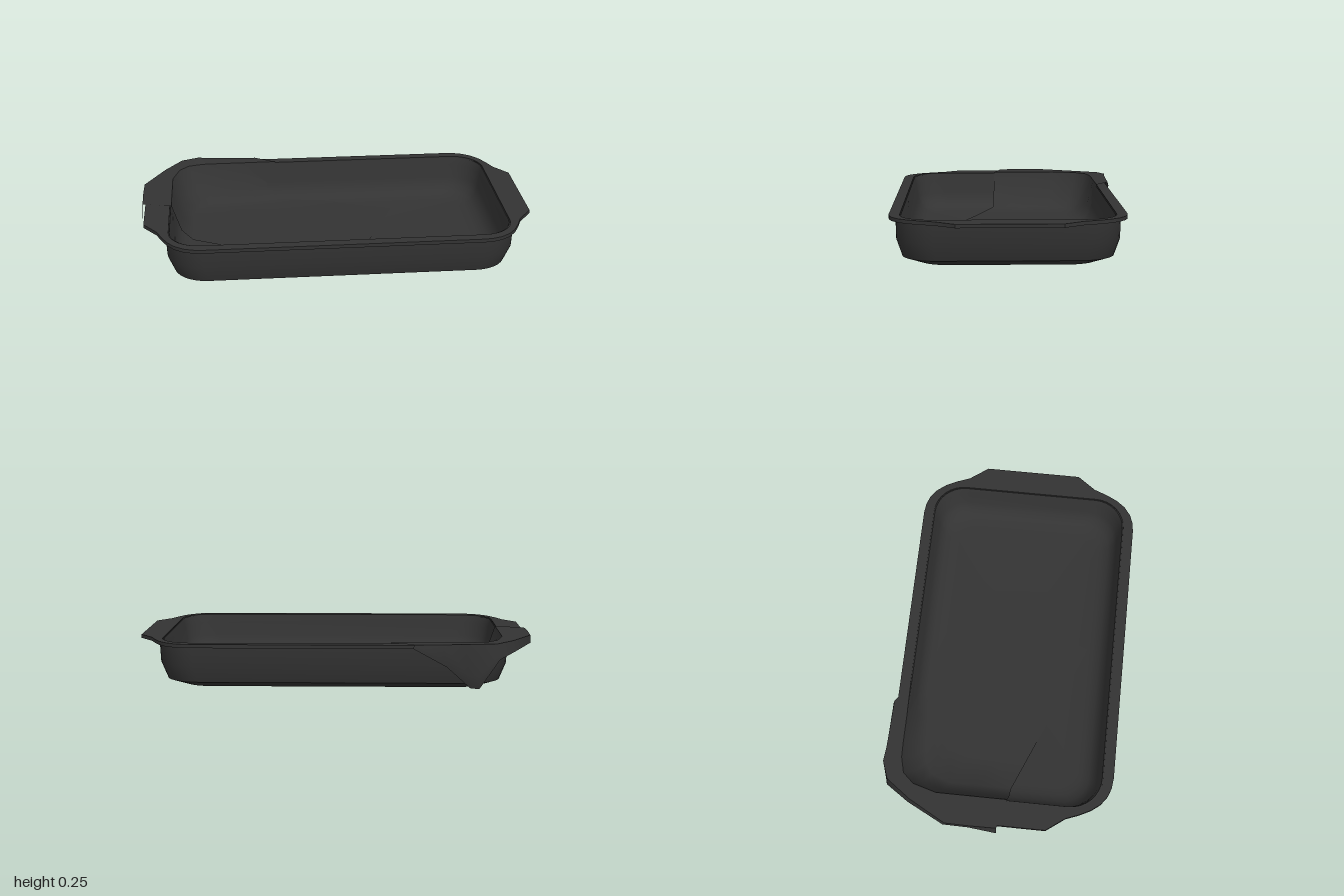
import * as THREE from 'three';
import { toCreasedNormals } from 'three/addons/utils/BufferGeometryUtils.js';

const CX = 0.01, CZ = 0.015; // tray centre

// Skin a list of equally long point rows
function skin(rows, closed) {
  const n = rows[0].length, pos = rows.flat(2), idx = [];
  for (let r = 0; r < rows.length - 1; r++) {
    for (let i = 0; i < (closed ? n : n - 1); i++) {
      const j = (i + 1) % n;
      const a = r * n + i, b = r * n + j, c = a + n, d = b + n;
      idx.push(a, c, b, b, c, d);
    }
  }
  const g = new THREE.BufferGeometry();
  g.setAttribute('position', new THREE.Float32BufferAttribute(pos, 3));
  g.setIndex(idx);
  g.computeVertexNormals();
  return g;
}

// Rounded rectangle ring at height y
function ring(hx, hz, rad, y) {
  const pts = [], steps = 8;
  [[1, 1], [-1, 1], [-1, -1], [1, -1]].forEach(([sx, sz], q) => {
    for (let k = 0; k <= steps; k++) {
      const a = (q + k / steps) * Math.PI / 2;
      pts.push([sx * (hx - rad) + rad * Math.cos(a), y, sz * (hz - rad) + rad * Math.sin(a)]);
    }
  });
  return pts;
}

function makeBowl() {
  // half width, half depth, corner radius, height: up the outside, down the inside
  const profile = [
    [0, 0, 0, 0], [0.76, 0.43, 0.14, 0], [0.84, 0.508, 0.17, 0.034],
    [0.872, 0.535, 0.18, 0.12], [0.877, 0.537, 0.18, 0.22],
    [0.858, 0.512, 0.16, 0.231], [0.848, 0.502, 0.16, 0.19], [0.836, 0.49, 0.155, 0.12],
    [0.822, 0.476, 0.15, 0.08], [0.795, 0.45, 0.14, 0.05], [0.76, 0.415, 0.12, 0.034],
    [0.72, 0.375, 0.1, 0.027], [0, 0, 0, 0.025],
  ];
  return toCreasedNormals(skin(profile.map(p => ring(...p)), true), 0.65);
}

function makeRim() {
  // One quarter of the outline, with the handle at the end, mirrored four ways
  const q = [[0.99, 0.25], [0.92, 0.345], [0.895, 0.41], [0.865, 0.47], [0.83, 0.515],
    [0.785, 0.548], [0.74, 0.564], [0.69, 0.57]];
  const flip = (sx, sy) => q.map(([x, y]) => new THREE.Vector2(sx * x, sy * y));
  const shape = new THREE.Shape([
    ...flip(1, 1), ...flip(-1, 1).reverse(), ...flip(-1, -1), ...flip(1, -1).reverse()]);
  shape.holes.push(new THREE.Path(
    ring(0.863, 0.517, 0.16, 0).map(p => new THREE.Vector2(p[0], p[2])).reverse()));
  const g = new THREE.ExtrudeGeometry(shape, { depth: 0.018, bevelEnabled: false });
  g.rotateX(-Math.PI / 2).translate(0, 0.216, 0);
  return toCreasedNormals(g, 0.6);
}

function makeCloth() {
  // Rows run from the flat edge on the floor, up the wall, over the rim and down
  const foot = [[-0.74, 0.07], [-0.74, -0.1], [-0.74, -0.25], [-0.705, -0.35], [-0.65, -0.385],
    [-0.58, -0.395], [-0.5, -0.4], [-0.38, -0.41], [-0.16, -0.455]];
  const lip = [[-0.845, 0.06], [-0.845, -0.1], [-0.845, -0.3], [-0.81, -0.42], [-0.76, -0.475],
    [-0.68, -0.495], [-0.6, -0.497], [-0.46, -0.497], [-0.28, -0.5]];
  const outer = [[-0.995, 0.02], [-0.997, -0.12], [-0.995, -0.24], [-0.89, -0.43], [-0.8, -0.553],
    [-0.71, -0.585], [-0.64, -0.578], [-0.53, -0.575], [-0.39, -0.572]];
  const outerY = [0.238, 0.24, 0.238, 0.24, 0.243, 0.245, 0.243, 0.24, 0.238];
  const hem = [[-1, 0.02, 0.14], [-1, -0.12, 0.215], [-0.995, -0.25, 0.2], [-0.895, -0.44, 0.185],
    [-0.81, -0.56, 0.165], [-0.71, -0.568, 0.02], [-0.665, -0.568, 0.025],
    [-0.55, -0.578, 0.13], [-0.385, -0.576, 0.22]];
  const n = foot.length;
  const lift = (row, y) => row.map(([x, z]) => [x, y, z]);
  const blend = (a, b, t) => a.map((p, i) => p.map((v, k) => v + (b[i][k] - v) * t));

  const floorEdge = foot.map((_, i) => {
    const t = i / (n - 1);
    return [0.07 + 0.28 * t, 0.029, 0.4 - 0.67 * t];
  });
  const footRow = lift(foot, 0.045), lipRow = lift(lip, 0.24);
  const mid = blend(footRow, lipRow, 0.55).map(p => [p[0], 0.1, p[2]]);
  const outerRow = outer.map(([x, z], i) => [x, outerY[i], z]);
  const hemRow = hem.map(([x, z, y]) => [x, y, z]);
  // The hanging part bulges slightly before the tip tucks in
  const bulge = blend(outerRow, hemRow, 0.7).map((p, i) => (i > 4 && i < 8 ? [p[0], p[1], -0.586] : p));

  const rows = [];
  for (let k = 0; k < 6; k++) {
    const t = k / 6;
    rows.push(blend(floorEdge, footRow, t).map(p => [p[0], 0.029 + 0.016 * t ** 3, p[2]]));
  }
  rows.push(footRow, mid, lipRow, outerRow, bulge, hemRow);
  return toCreasedNormals(skin(rows, false), 1.0);
}

export function createModel() {
  const model = new THREE.Group();
  model.name = 'bakingTrayWithCloth';
  const add = (name, geometry, parent, side = THREE.FrontSide) => {
    const mesh = new THREE.Mesh(geometry, new THREE.MeshStandardMaterial({ color: 0x333333, side }));
    mesh.name = name;
    parent.add(mesh);
  };

  // Tray: deep bowl with a flat rim that widens into two handles
  const tray = new THREE.Group();
  tray.name = 'tray';
  tray.position.set(CX, 0, CZ);
  add('bowl', makeBowl(), tray);
  add('rimWithHandles', makeRim(), tray);
  model.add(tray);

  // Cloth draped over the rear corner
  add('cloth', makeCloth(), model, THREE.DoubleSide);
  return model;
}
